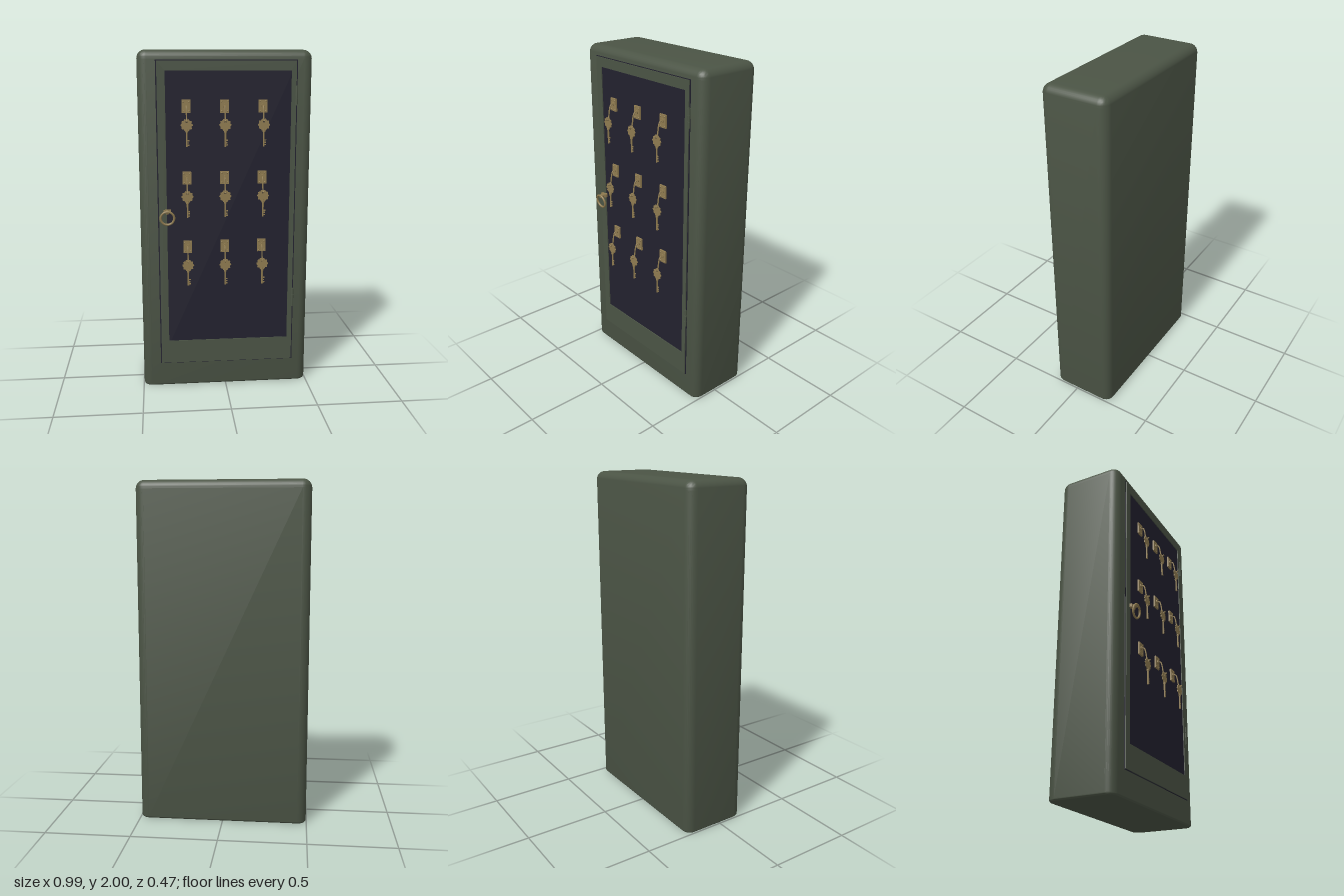
import * as THREE from 'three';
import { toCreasedNormals } from 'three/addons/utils/BufferGeometryUtils.js';

const green = new THREE.MeshStandardMaterial({ color: 0x4b5445 });
green.name = 'green enamel';
const navy = new THREE.MeshStandardMaterial({ color: 0x22212e });
navy.name = 'navy panel';
const brass = new THREE.MeshStandardMaterial({ color: 0x8f7b50 });
brass.name = 'brass';

function add(parent, name, geometry, material, x = 0, y = 0, z = 0) {
  const mesh = new THREE.Mesh(geometry, material);
  mesh.name = name;
  mesh.position.set(x, y, z);
  parent.add(mesh);
  return mesh;
}

function rectangle(path, x0, y0, x1, y1) {
  path.moveTo(x0, y0);
  path.lineTo(x1, y0);
  path.lineTo(x1, y1);
  path.lineTo(x0, y1);
  path.closePath();
  return path;
}

// Case lofted from rounded rectangles, with a soft top and a tight bottom edge
function caseGeometry(halfW, halfD, height, radius, topR, bottomR) {
  const profile = [];
  const steps = 8;
  for (let i = 0; i <= steps; i++) {
    const a = (i / steps) * Math.PI / 2;
    profile.push([bottomR * (1 - Math.sin(a)), bottomR * (1 - Math.cos(a))]);
  }
  for (let i = 0; i <= steps; i++) {
    const a = (i / steps) * Math.PI / 2;
    profile.push([topR * (1 - Math.cos(a)), height - topR * (1 - Math.sin(a))]);
  }
  const positions = [], index = [], n = 4 * (steps + 1);
  for (const [inset, y] of profile) {
    for (let c = 0; c < 4; c++) {
      const sx = c === 0 || c === 3 ? 1 : -1, sz = c < 2 ? 1 : -1;
      for (let i = 0; i <= steps; i++) {
        const a = (c + i / steps) * Math.PI / 2, r = radius - inset;
        positions.push(sx * (halfW - radius) + r * Math.cos(a), y, sz * (halfD - radius) + r * Math.sin(a));
      }
    }
  }
  const last = (profile.length - 1) * n, bottom = profile.length * n;
  positions.push(0, 0, 0, 0, height, 0);
  for (let k = 0; k < n; k++) {
    const m = (k + 1) % n;
    for (let j = 0; j < last; j += n) index.push(j + k, j + n + k, j + m, j + m, j + n + k, j + n + m);
    index.push(bottom, k, m, bottom + 1, last + m, last + k);
  }
  const geometry = new THREE.BufferGeometry();
  geometry.setAttribute('position', new THREE.Float32BufferAttribute(positions, 3));
  geometry.setIndex(index);
  return toCreasedNormals(geometry, 0.6);
}

// Key outline: scalloped bow around a small eye
function bowGeometry() {
  const shape = new THREE.Shape();
  for (let i = 0; i < 72; i++) {
    const a = (i / 72) * Math.PI * 2;
    const r = 0.032 + 0.003 * Math.cos(a * 10);
    const p = [r * Math.cos(a), r * Math.sin(a)];
    if (i) shape.lineTo(...p); else shape.moveTo(...p);
  }
  shape.closePath();
  shape.holes.push(new THREE.Path().absarc(0, 0.018, 0.006, 0, Math.PI * 2, true));
  return new THREE.ExtrudeGeometry(shape, { depth: 0.005, bevelEnabled: false });
}

// Shared hook and key geometry
const plate = new THREE.BoxGeometry(0.05, 0.074, 0.01);
const screw = new THREE.SphereGeometry(0.005, 10, 6);
const hook = new THREE.TubeGeometry(new THREE.CatmullRomCurve3([
  new THREE.Vector3(0, 0.005, 0.175),
  new THREE.Vector3(0, 0, 0.196),
  new THREE.Vector3(0, -0.028, 0.206),
  new THREE.Vector3(0, -0.065, 0.212),
  new THREE.Vector3(0, -0.083, 0.222),
  new THREE.Vector3(0, -0.078, 0.232),
]), 24, 0.004, 8);
const hookTip = new THREE.SphereGeometry(0.005, 10, 8);
const hookBase = new THREE.CylinderGeometry(0.011, 0.011, 0.008, 16).rotateX(Math.PI / 2);
const bow = bowGeometry();
const collar = new THREE.CylinderGeometry(0.008, 0.008, 0.008, 12);
const shaft = new THREE.CylinderGeometry(0.005, 0.005, 0.1, 10);
const tooth = new THREE.BoxGeometry(0.01, 0.007, 0.004);

function hangingKey(x, y) {
  const group = new THREE.Group();
  group.name = 'hookWithKey';
  group.position.set(x, y, 0);
  add(group, 'hookPlate', plate, brass, 0, 0, 0.173);
  for (const sx of [-1, 1]) for (const sy of [-1, 1]) {
    add(group, 'plateScrew', screw, brass, sx * 0.016, sy * 0.027, 0.177);
  }
  add(group, 'hookBase', hookBase, brass, 0, 0.004, 0.18);
  add(group, 'hook', hook, brass);
  add(group, 'hookTip', hookTip, brass, 0, -0.078, 0.231);
  add(group, 'keyBow', bow, brass, 0, -0.101, 0.2155);
  add(group, 'keyCollar', collar, brass, 0, -0.138, 0.218);
  add(group, 'keyShaft', shaft, brass, 0, -0.173, 0.218);
  [-0.187, -0.2, -0.213].forEach((ty, i) => {
    add(group, 'keyTooth', tooth, brass, i === 1 ? 0.007 : 0.009, ty, 0.218);
  });
  return group;
}

export function createModel() {
  const model = new THREE.Group();
  model.name = 'keyCabinet';

  add(model, 'case', caseGeometry(0.497, 0.1975, 2, 0.052, 0.05, 0.014), green, 0, 0, -0.0375);

  // Dark backing, showing through the window and as a seam around the door
  add(model, 'backPanel', new THREE.BoxGeometry(0.803, 1.798, 0.008), navy, 0.007, 1.045, 0.159);

  // Door frame
  const door = rectangle(new THREE.Shape(), -0.388, 0.15, 0.402, 1.94);
  door.holes.push(rectangle(new THREE.Path(), -0.342, 0.29, 0.374, 1.885));
  add(model, 'doorFrame', new THREE.ExtrudeGeometry(door, { depth: 0.009, bevelEnabled: false }), green, 0, 0, 0.159);

  // Hinges
  for (const y of [1.745, 0.545]) {
    for (let i = -1; i <= 1; i++) {
      add(model, 'hingeKnuckle', new THREE.CylinderGeometry(0.008, 0.008, 0.034, 12), green, 0.403, y + i * 0.036, 0.167);
    }
    add(model, 'hingePin', new THREE.CylinderGeometry(0.005, 0.005, 0.112, 10), green, 0.403, y, 0.167);
  }

  // Grid of hooks and keys
  for (const y of [1.688, 1.282, 0.876]) {
    for (const x of [-0.225, -0.008, 0.21]) model.add(hangingKey(x, y));
  }

  // Ring pull
  const pull = new THREE.Group();
  pull.name = 'ringPull';
  pull.position.set(-0.341, 1.09, 0);
  const disc = (r, d) => new THREE.CylinderGeometry(r, r, d, 24).rotateX(Math.PI / 2);
  add(pull, 'pullBase', new THREE.BoxGeometry(0.045, 0.02, 0.014), brass, 0, 0, 0.182);
  add(pull, 'pullFoot', disc(0.008, 0.016), brass, 0, 0, 0.171);
  add(pull, 'pullStem', disc(0.011, 0.026), brass, 0, 0, 0.2);
  const ring = add(pull, 'pullRing', new THREE.TorusGeometry(0.039, 0.0065, 12, 40), brass, 0, -0.035, 0.207);
  ring.rotation.x = 0.15;
  model.add(pull);

  return model;
}
